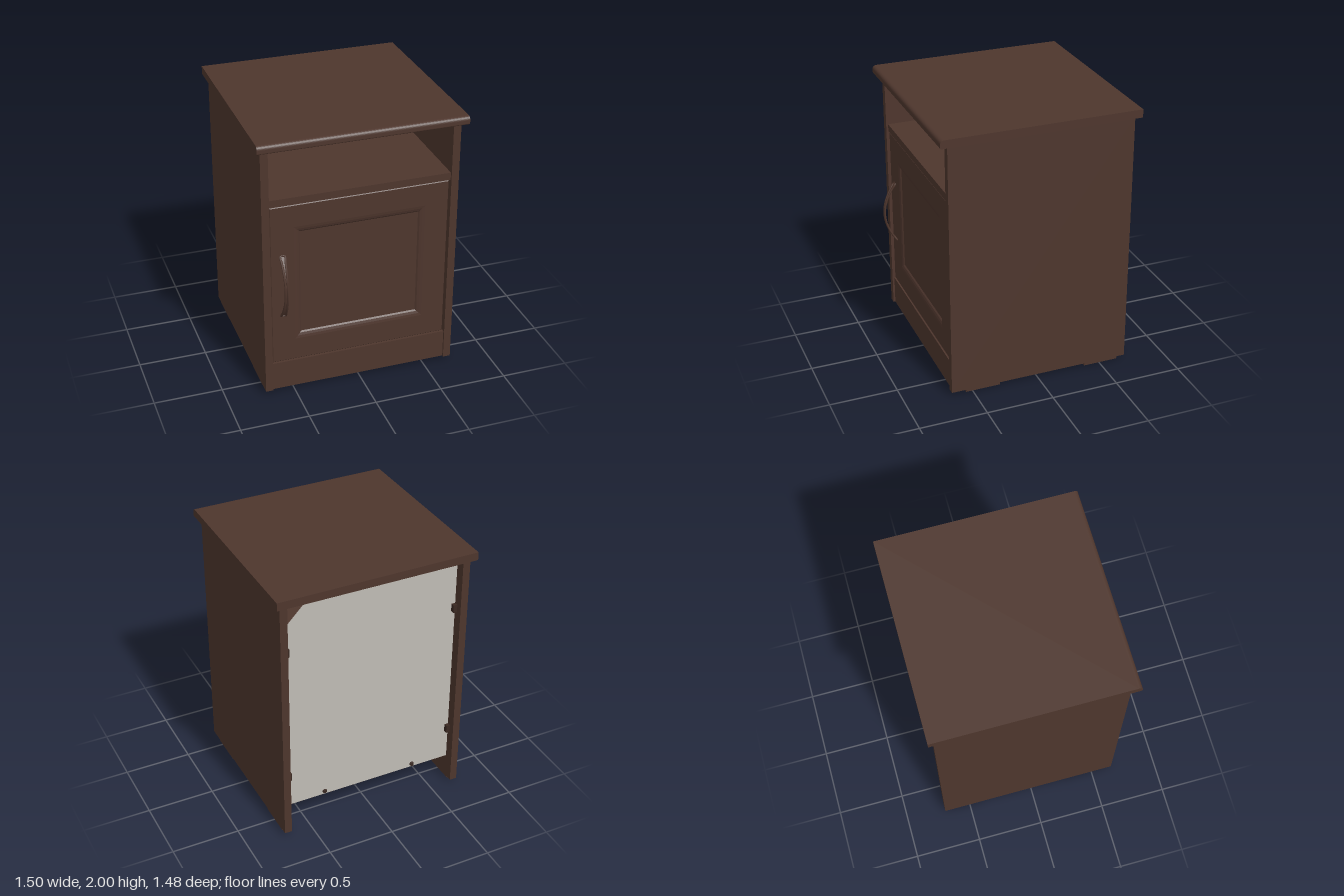
import * as THREE from 'three';

const wood = new THREE.MeshStandardMaterial({ color: 0x4e362d });
wood.name = 'dark brown wood';
const board = new THREE.MeshStandardMaterial({ color: 0xc0bcb5 });
board.name = 'grey backing board';
const fitting = new THREE.MeshStandardMaterial({ color: 0x3a2922 });
fitting.name = 'dark fittings';

function add(parent, name, geometry, material) {
  const mesh = new THREE.Mesh(geometry, material);
  mesh.name = name;
  parent.add(mesh);
  return mesh;
}

// Box given by its limits on each axis
function box(parent, name, [x0, x1], [y0, y1], [z0, z1], material = wood) {
  const mesh = add(parent, name, new THREE.BoxGeometry(x1 - x0, y1 - y0, z1 - z0), material);
  mesh.position.set((x0 + x1) / 2, (y0 + y1) / 2, (z0 + z1) / 2);
  return mesh;
}

// Extrudes a (z, y) profile across x, centred on x = 0
function acrossX(shape, width) {
  const g = new THREE.ExtrudeGeometry(shape, { depth: width, bevelEnabled: false, curveSegments: 10 });
  return g.rotateY(-Math.PI / 2).translate(width / 2, 0, 0);
}

// Joins nested rectangles [halfWidth, halfHeight, z] and caps the last one
function nestedRectangles(rings) {
  const pos = [];
  const corners = ([w, h, z]) => [[-w, -h, z], [w, -h, z], [w, h, z], [-w, h, z]];
  const quad = (a, b, c, d) => pos.push(...a, ...b, ...c, ...a, ...c, ...d);
  for (let i = 0; i < rings.length - 1; i++) {
    const a = corners(rings[i]), b = corners(rings[i + 1]);
    for (let k = 0; k < 4; k++) quad(a[k], a[(k + 1) % 4], b[(k + 1) % 4], b[k]);
  }
  quad(...corners(rings[rings.length - 1]));
  const g = new THREE.BufferGeometry();
  g.setAttribute('position', new THREE.Float32BufferAttribute(pos, 3));
  g.computeVertexNormals();
  return g;
}

function makeHandle() {
  const handle = new THREE.Group();
  handle.name = 'handle';
  const half = 0.24;
  const bow = (t) => 0.638 + 0.09 * (1 - t * t);
  const spread = (t) => 0.008 + 0.008 * t * t;

  // Rounded outline: up one side, down the other
  const points = [];
  for (const side of [1, -1]) {
    for (let i = 0; i <= 12; i++) {
      const t = side * (-1 + i / 6);
      points.push(new THREE.Vector3(side * spread(t), t * half, bow(t)));
    }
  }
  const loop = new THREE.CatmullRomCurve3(points, true);
  add(handle, 'handleRim', new THREE.TubeGeometry(loop, 96, 0.008, 8, true), wood);

  // Thin web between the two rims
  const web = new THREE.BoxGeometry(2, 2 * half, 0.008, 1, 16, 1);
  const p = web.attributes.position;
  for (let i = 0; i < p.count; i++) {
    const t = p.getY(i) / half;
    p.setX(i, p.getX(i) * spread(t));
    p.setZ(i, p.getZ(i) + bow(t) - 0.002);
  }
  web.computeVertexNormals();
  add(handle, 'handleWeb', web, wood);
  handle.position.set(-0.567, 0.87, 0);
  return handle;
}

export function createModel() {
  const model = new THREE.Group();
  model.name = 'bedsideCabinet';

  // Top with a rounded front edge
  const nose = new THREE.Shape();
  nose.moveTo(-0.74, 1.94);
  nose.lineTo(0.712, 1.94);
  nose.quadraticCurveTo(0.72, 1.942, 0.72, 1.952);
  nose.lineTo(0.72, 1.972);
  nose.quadraticCurveTo(0.718, 1.998, 0.69, 2);
  nose.lineTo(-0.74, 2);
  nose.closePath();
  add(model, 'tabletop', acrossX(nose, 1.5), wood);

  // Sides and their feet
  for (const s of [-1, 1]) {
    const side = s < 0 ? 'right' : 'left';
    const span = (a, b) => (s > 0 ? [a, b] : [-b, -a]);
    box(model, side + 'Side', span(0.66, 0.715), [0.025, 1.94], [-0.7, 0.66]);
    for (const [end, z] of [['Front', [0.29, 0.55]], ['Back', [-0.64, -0.38]]]) {
      box(model, side + end + 'Foot', span(0.664, 0.711), [0.008, 0.025], z);
      box(model, side + end + 'FootPad', span(0.67, 0.705), [0, 0.008], z);
    }
  }

  // Shelf, bottom board and plinth
  box(model, 'shelf', [-0.66, 0.66], [1.5, 1.555], [-0.615, 0.645]);
  box(model, 'bottomBoard', [-0.66, 0.66], [0.2, 0.243], [-0.615, 0.63]);
  box(model, 'plinth', [-0.66, 0.66], [0.025, 0.243], [0.59, 0.645]);

  // Door with a coved frame around a sunken panel
  const w = 0.4325, h = 0.4025;
  const door = add(model, 'door', nestedRectangles([
    [0.6525, 0.6225, 0.585], [0.6525, 0.6225, 0.634], [0.6465, 0.6165, 0.64],
    [w + 0.05, h + 0.05, 0.64], [w + 0.03, h + 0.03, 0.637],
    [w + 0.012, h + 0.012, 0.631], [w + 0.002, h + 0.002, 0.622], [w, h, 0.622],
  ]), wood);
  door.position.set(-0.0025, 0.8725, 0);
  box(model, 'doorBack', [-0.655, 0.65], [0.25, 1.495], [0.58, 0.59]);
  model.add(makeHandle());

  // Backing board with one cut corner
  const back = new THREE.Shape();
  [[-0.66, 0.21], [0.66, 0.21], [0.66, 1.7], [0.43, 1.94], [-0.66, 1.94]]
    .forEach(([x, y], i) => (i ? back.lineTo(x, y) : back.moveTo(x, y)));
  add(model, 'backPanel', new THREE.ExtrudeGeometry(back, { depth: 0.008, bevelEnabled: false }), board)
    .position.z = -0.625;

  // Clips and screws holding the backing board
  for (const s of [-1, 1]) {
    for (const y of [0.48, 1.53]) {
      const x = s * 0.645;
      box(model, 'sideClip', [x - 0.015, x + 0.015], [y - 0.03, y + 0.03], [-0.655, -0.625], fitting);
    }
    const x = s * 0.34;
    box(model, 'topClip', [x - 0.03, x + 0.03], [1.91, 1.94], [-0.655, -0.625], fitting);
    const screw = add(model, 'bottomScrew', new THREE.CylinderGeometry(0.014, 0.018, 0.012, 10), fitting);
    screw.rotation.x = -Math.PI / 2;
    screw.position.set(s * 0.36, 0.235, -0.631);
  }
  return model;
}
